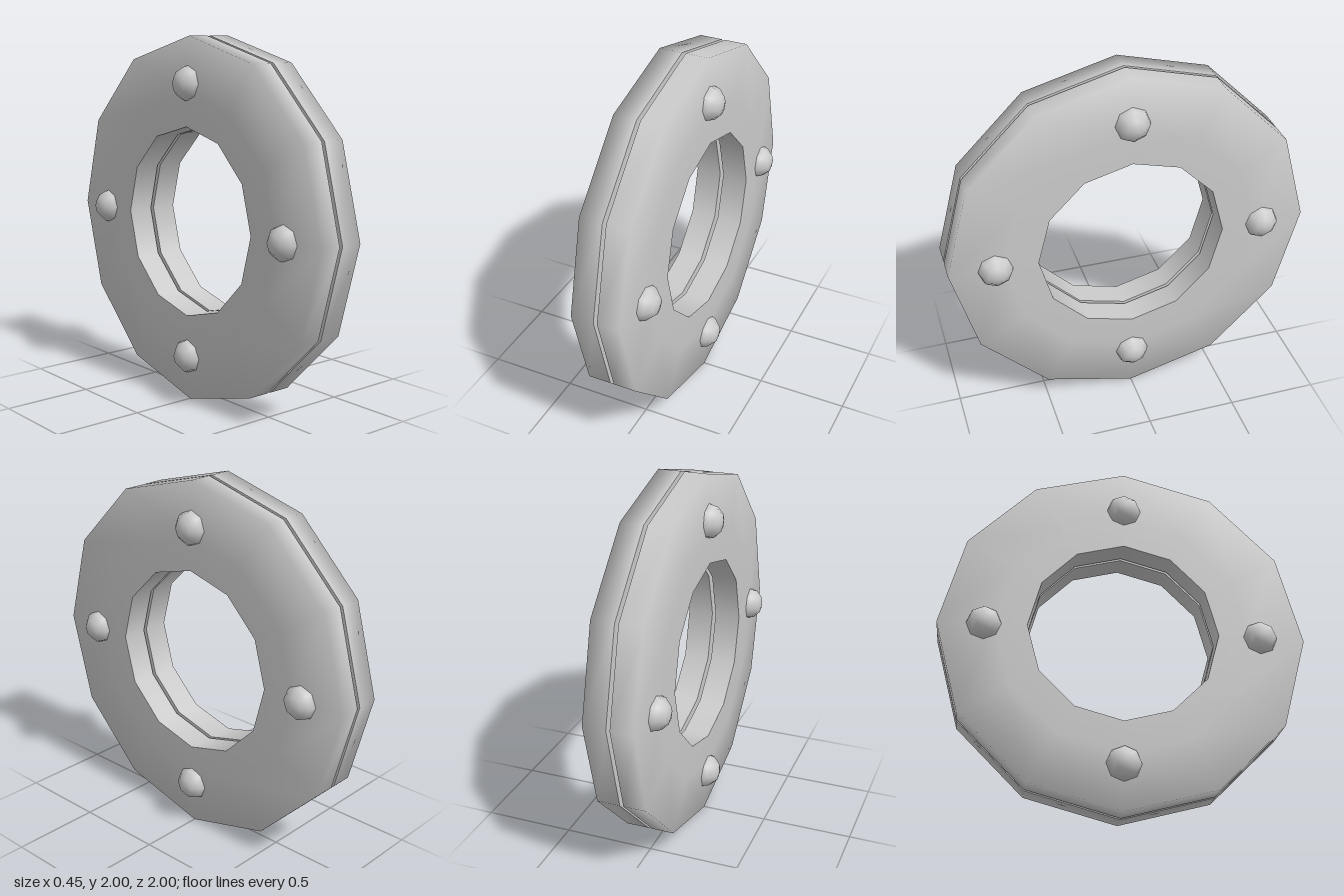
import * as THREE from 'three';

const SIDES = 12;
const material = new THREE.MeshStandardMaterial({ color: 0xcccccc });

// One lathed strip; its normals are smooth within the strip and creased at its ends
function strip(name, profile) {
  const points = profile.map(([r, h]) => new THREE.Vector2(r, h));
  const mesh = new THREE.Mesh(new THREE.LatheGeometry(points, SIDES), material);
  mesh.name = name;
  return mesh;
}

// Half of the wheel, built along +y
function createDisc(name) {
  const disc = new THREE.Group();
  disc.name = name;
  disc.add(
    strip('rimAndFace', [[1, 0.01], [1, 0.135], [0.7, 0.152], [0.52, 0.155]]),
    strip('holeWall', [[0.52, 0.155], [0.52, 0.01]]),
    strip('innerFace', [[0.52, 0.01], [1, 0.01]])
  );

  // Four domed rivets
  const dome = new THREE.SphereGeometry(0.1, 8, 3, 0, Math.PI * 2, 0, Math.PI / 2);
  for (let i = 0; i < 4; i++) {
    const a = (i * Math.PI) / 2;
    const rivet = new THREE.Mesh(dome, material);
    rivet.name = 'rivet';
    rivet.position.set(0.75 * Math.sin(a), 0.125, 0.75 * Math.cos(a));
    disc.add(rivet);
  }
  return disc;
}

export function createModel() {
  const model = new THREE.Group();
  model.name = 'rivetedRing';
  // Two discs back to back with a thin gap, axis along x
  for (const [name, side] of [['leftDisc', 1], ['rightDisc', -1]]) {
    const disc = createDisc(name);
    disc.rotation.z = (-side * Math.PI) / 2;
    disc.position.y = 1;
    model.add(disc);
  }
  return model;
}
